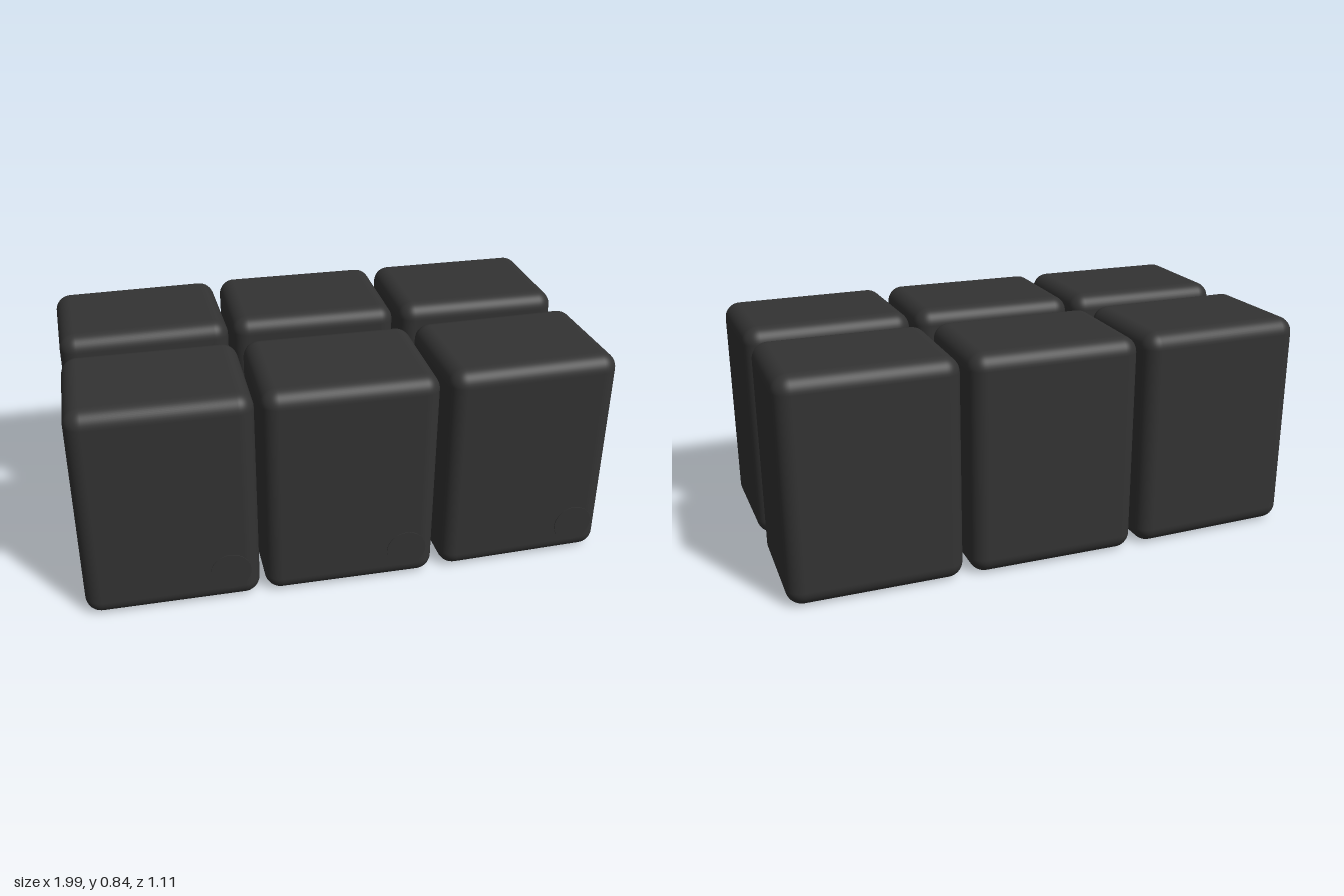
import * as THREE from 'three';
import { RoundedBoxGeometry } from 'three/addons/geometries/RoundedBoxGeometry.js';

const WIDTH = 0.645, HEIGHT = 0.84, DEPTH = 0.485;

export function createModel() {
  const model = new THREE.Group();
  model.name = 'blockRows';

  const dark = new THREE.MeshStandardMaterial({ color: 0x333333 });
  const blockGeometry = new RoundedBoxGeometry(WIDTH, HEIGHT, DEPTH, 6, 0.06);
  // Thin round pad, turned to face +z
  const padGeometry = new THREE.CylinderGeometry(0.075, 0.075, 0.01, 32).rotateX(Math.PI / 2);

  // Each block: name, x, z and its slight turn about the vertical
  const blocks = [
    ['frontRightBlock', -0.672, 0.294, -0.015],
    ['frontMiddleBlock', -0.006, 0.304, -0.018],
    ['frontLeftBlock', 0.668, 0.297, 0.014],
    ['backRightBlock', -0.672, -0.305, 0.012],
    ['backMiddleBlock', -0.004, -0.312, -0.018],
    ['backLeftBlock', 0.668, -0.301, -0.014],
  ];

  for (const [name, x, z, turn] of blocks) {
    const unit = new THREE.Group();
    unit.name = name;

    const body = new THREE.Mesh(blockGeometry, dark);
    body.name = 'body';
    body.position.y = HEIGHT / 2;

    // Pad almost flush with the lower corner of the front face
    const pad = new THREE.Mesh(padGeometry, dark);
    pad.name = 'roundPad';
    pad.position.set(0.21, 0.13, DEPTH / 2 - 0.002);

    unit.add(body, pad);
    unit.position.set(x, 0, z);
    unit.rotation.y = turn;
    model.add(unit);
  }
  return model;
}
